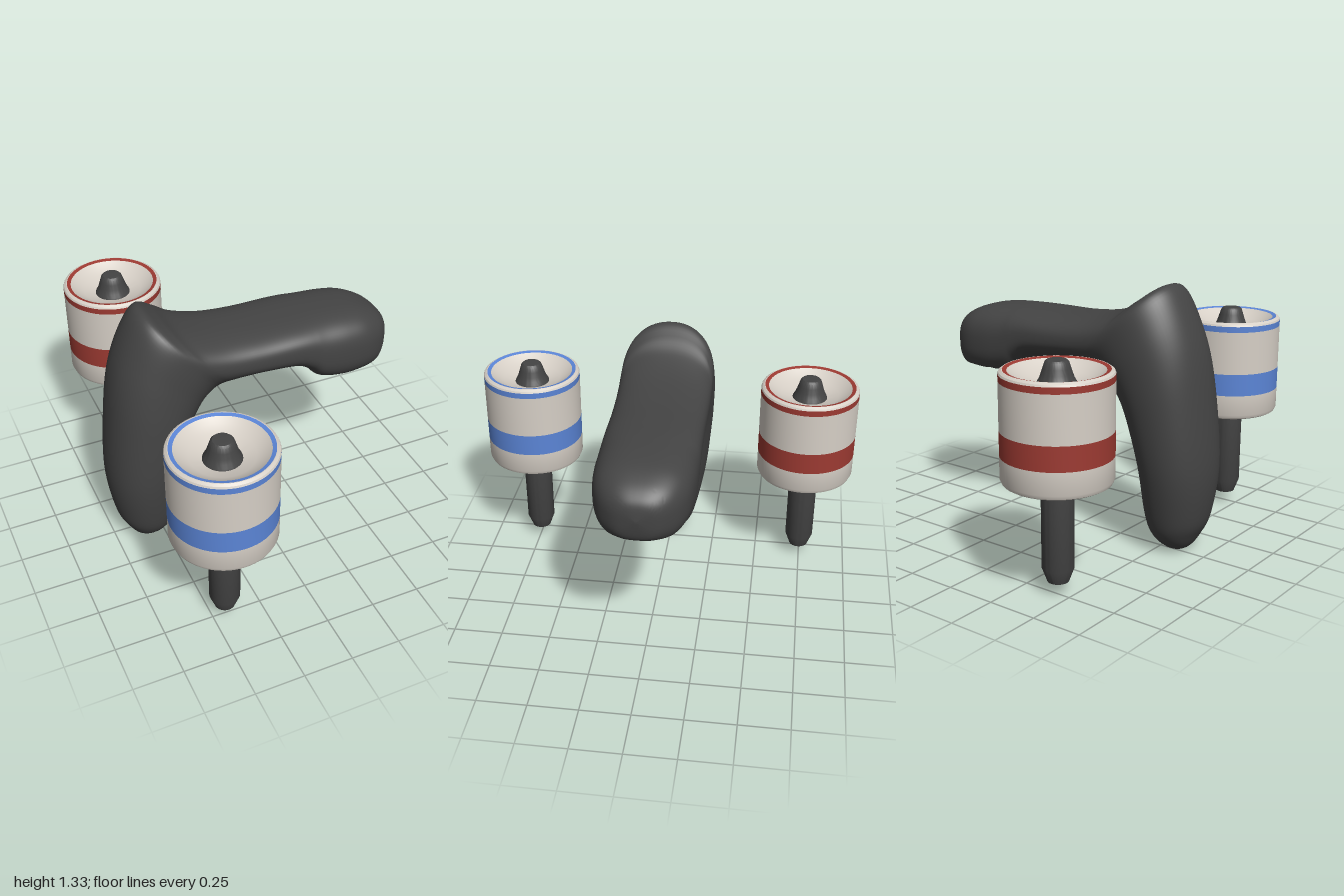
import * as THREE from 'three';
import { toCreasedNormals } from 'three/addons/utils/BufferGeometryUtils.js';

const paint = (color) => new THREE.MeshStandardMaterial({ color });
const dark = paint(0x444444), cream = paint(0xd6cfc6);
const blue = paint(0x5b85d6), red = paint(0x9c3a32);

// Handle sections from foot to head: outer x, y, inner x, y, half width
const sections = [
  [-0.58, 0.003, -0.58, 0.003, 0],
  [-0.64, 0.022, -0.52, 0.022, 0.068],
  [-0.689, 0.09, -0.455, 0.09, 0.135],
  [-0.735, 0.2, -0.42, 0.2, 0.175],
  [-0.764, 0.45, -0.39, 0.45, 0.22],
  [-0.735, 0.8, -0.32, 0.70, 0.24],
  [-0.69, 1.05, -0.26, 0.80, 0.243],
  [-0.607, 1.25, -0.21, 0.845, 0.242],
  [-0.533, 1.333, -0.176, 0.865, 0.24],
  [-0.45, 1.29, -0.14, 0.885, 0.24],
  [-0.36, 1.225, -0.10, 0.90, 0.24],
  [-0.197, 1.168, -0.03, 0.915, 0.238],
  [0, 1.143, 0.06, 0.918, 0.237],
  [0.2, 1.14, 0.2, 0.905, 0.239],
  [0.295, 1.14, 0.28, 0.86, 0.241],
  [0.36, 1.139, 0.34, 0.80, 0.243],
  [0.48, 1.133, 0.46, 0.77, 0.242],
  [0.58, 1.119, 0.58, 0.77, 0.228],
  [0.66, 1.09, 0.66, 0.775, 0.195],
  [0.715, 1.055, 0.71, 0.80, 0.15],
  [0.75, 1.01, 0.747, 0.84, 0.09],
  [0.765, 0.935, 0.765, 0.935, 0],
];

// Catmull-Rom blend between neighbouring sections
function sectionAt(t) {
  const last = sections.length - 1;
  const i = Math.min(Math.floor(t), last - 1), f = t - i;
  const at = (k) => sections[Math.max(0, Math.min(last, k))];
  const [a, b, c, d] = [at(i - 1), at(i), at(i + 1), at(i + 2)];
  return b.map((v, k) => v + 0.5 * f * (c[k] - a[k]
    + f * (2 * a[k] - 5 * v + 4 * c[k] - d[k] + f * (3 * (v - c[k]) + d[k] - a[k]))));
}

function handleGeometry() {
  const sides = 72, steps = (sections.length - 1) * 6, floor = 0.815;
  const pos = [], index = [];
  const power = (v, e) => Math.sign(v) * Math.pow(Math.abs(v), e);
  for (let i = 0; i <= steps; i++) {
    const [ox, oy, ix, iy, w] = sectionAt(i / 6);
    const cx = (ox + ix) / 2, cy = (oy + iy) / 2;
    // The leg leans slightly forward; sections grow squarer toward the head
    const cz = 0.03 * Math.max(0, 1 - cy * cy);
    const n = 2.15 + 0.65 * THREE.MathUtils.smoothstep(cx, -0.5, 0.4);
    for (let j = 0; j < sides; j++) {
      const a = (j / sides) * Math.PI * 2;
      const c = power(Math.cos(a), 2 / n), s = power(Math.sin(a), 2 / n);
      const x = cx + (ox - ix) / 2 * c;
      let y = cy + (oy - iy) / 2 * c;
      // Shallow dish under the head
      if (x > 0.25 && y < floor) y = floor + 0.5 * (floor - y);
      pos.push(x, y, cz + w * s);
    }
  }
  for (let i = 0; i < steps; i++) {
    for (let j = 0; j < sides; j++) {
      const k = (j + 1) % sides;
      const a = i * sides + j, b = i * sides + k, c = a + sides, d = b + sides;
      if (i > 0) index.push(a, b, c);
      if (i < steps - 1) index.push(b, d, c);
      // Single triangles close the two pole rings
      if (i === 0) index.push(a, d, c);
      if (i === steps - 1) index.push(a, b, c);
    }
  }
  const geo = new THREE.BufferGeometry();
  geo.setAttribute('position', new THREE.Float32BufferAttribute(pos, 3));
  geo.setIndex(index.filter((_, k) => k >= 0));
  return toCreasedNormals(geo, 0.6);
}

// Turned part from [radius, y] points, listed from below, outward and up
function turned(name, material, points) {
  const geo = new THREE.LatheGeometry(points.map(([r, y]) => new THREE.Vector2(r, y)), 64);
  const mesh = new THREE.Mesh(toCreasedNormals(geo, 0.5), material);
  mesh.name = name;
  return mesh;
}

function createCanister(name, accent, z) {
  const g = new THREE.Group();
  g.name = name;
  const R = 0.256;
  g.add(
    turned('stem', dark, [[0, 0.068], [0.05, 0.068], [0.075, 0.135], [0.076, 0.56]]),
    turned('lowerShell', cream, [[0, 0.545], [0.236, 0.545], [0.248, 0.552], [R, 0.57], [R, 0.675]]),
    turned('wideBand', accent, [[R, 0.675], [R, 0.79]]),
    turned('upperShell', cream, [[R, 0.79], [R, 1.013]]),
    turned('thinBand', accent, [[R, 1.013], [R, 1.043]]),
    turned('rim', cream, [[R, 1.043], [0.252, 1.052], [0.24, 1.06], [0.236, 1.06]]),
    turned('rimRing', accent, [[0.236, 1.06], [0.217, 1.055]]),
    turned('dish', cream, [[0.217, 1.055], [0.19, 1.035], [0.15, 1.014], [0.09, 0.995]]),
    turned('knob', dark, [[0.09, 0.995], [0.087, 1.003], [0.078, 1.018], [0.07, 1.04],
      [0.062, 1.065], [0.054, 1.09], [0.045, 1.099], [0, 1.102]]),
  );
  g.position.set(-0.433, 0, z);
  return g;
}

export function createModel() {
  const model = new THREE.Group();
  model.name = 'handleWithCanisters';
  const handle = new THREE.Mesh(handleGeometry(), dark);
  handle.name = 'handle';
  model.add(handle,
    createCanister('frontCanister', blue, 0.744),
    createCanister('backCanister', red, -0.744));
  return model;
}
